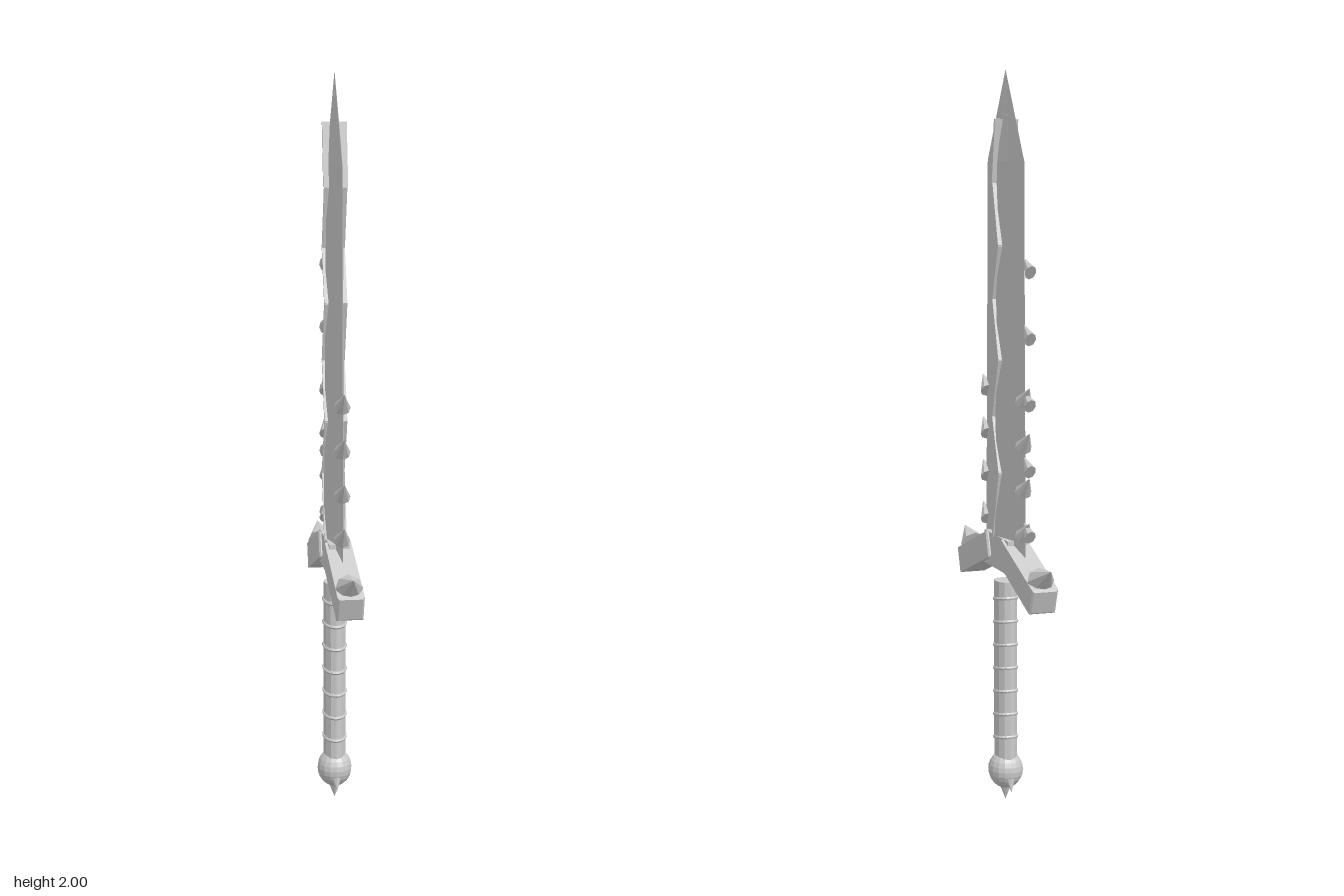
import * as THREE from 'three';

const steel = new THREE.MeshStandardMaterial({ color: 0xcccccc, flatShading: true });
steel.name = 'steel grey';

// Blade: a hollow-ground diamond section lofted up to a point
function bladeGeometry() {
  const levels = [[0.68, 0.166, 0.03], [1.76, 0.15, 0.022], [2.0, 0.0004, 0.0004]]; // y, half width, half thickness
  const section = [[1, 0], [0.5, 0.4], [0, 1], [-0.5, 0.4], [-1, 0], [-0.5, -0.4], [0, -1], [0.5, -0.4]];
  const n = section.length, pos = [], idx = [];
  for (const [y, w, t] of levels) for (const [x, z] of section) pos.push(x * t, y, z * w);
  for (let l = 0; l < levels.length - 1; l++) {
    for (let i = 0; i < n; i++) {
      const a = l * n + i, b = l * n + (i + 1) % n;
      idx.push(a, a + n, b, b, a + n, b + n);
    }
  }
  pos.push(0, levels[0][0], 0);
  for (let i = 0; i < n; i++) idx.push(levels.length * n, i, (i + 1) % n);
  const g = new THREE.BufferGeometry();
  g.setAttribute('position', new THREE.Float32BufferAttribute(pos, 3));
  g.setIndex(idx);
  g.computeVertexNormals();
  return g;
}

export function createModel() {
  const model = new THREE.Group();
  const add = (name, geometry, x = 0, y = 0, z = 0) => {
    const mesh = new THREE.Mesh(geometry, steel);
    mesh.name = name;
    mesh.position.set(x, y, z);
    model.add(mesh);
    return mesh;
  };

  // Cone from a base centre to a tip, both given as [y, z]
  const spike = (name, base, tip, radius, flat = 1) => {
    const dir = new THREE.Vector3(0, tip[0] - base[0], tip[1] - base[1]);
    const g = new THREE.ConeGeometry(radius, dir.length(), 8);
    const m = add(name, g, 0, (base[0] + tip[0]) / 2, (base[1] + tip[1]) / 2);
    m.quaternion.setFromUnitVectors(new THREE.Vector3(0, 1, 0), dir.normalize());
    m.scale.x = flat;
    return m;
  };

  add('blade', bladeGeometry());

  // Zigzag crack running through the blade
  const crack = [[1.87, -0.005], [1.7, 0.022], [1.535, -0.024], [1.39, 0.024], [1.23, -0.026],
    [1.07, 0.026], [0.92, -0.028], [0.74, 0.022]];
  for (let i = 0; i < crack.length - 1; i++) {
    const [y0, z0] = crack[i], [y1, z1] = crack[i + 1];
    const g = new THREE.BoxGeometry(i === 0 ? 0.066 : 0.062, Math.hypot(y0 - y1, z0 - z1), 0.008);
    add('crackSegment', g, 0, (y0 + y1) / 2, (z0 + z1) / 2).rotation.x = Math.atan2(z0 - z1, y0 - y1);
  }

  // Upswept thorns on both edges
  for (const s of [1, -1]) {
    for (let i = 0; i < 4; i++) {
      const y = 0.81 + i * 0.12;
      spike('edgeThorn', [y - 0.042, s * 0.145], [y, s * 0.195], 0.023);
    }
  }
  // Reversed barbs on the back edge
  for (let i = 0; i < 5; i++) {
    const y = 0.81 + i * 0.175;
    spike('backBarb', [y - 0.037, -0.2], [y, -0.146], 0.022, 0.7);
  }

  // Guard: centre block, sloping arms and horn spikes
  add('guardBlock', new THREE.BoxGeometry(0.056, 0.092, 0.2), 0, 0.7, 0);
  const shape = new THREE.Shape();
  const h = 0.031, w = 0.031;
  shape.moveTo(-w, -h).lineTo(w, -h).lineTo(w, h).lineTo(-w, h).closePath();
  for (const s of [1, -1]) {
    const g = new THREE.ExtrudeGeometry(shape, {
      depth: 0.267, bevelEnabled: true, bevelSize: 0.005, bevelThickness: 0.004, bevelSegments: 1,
    });
    g.translate(0, 0, -0.1335);
    add('guardArm', g, 0, 0.667, s * 0.18).rotation.x = s * 0.345;
    spike('guardHorn', [0.672, s * 0.283], [0.712, s * 0.363], 0.037);
  }

  // Grip with slightly slanted wrapping rings
  add('grip', new THREE.CylinderGeometry(0.04, 0.04, 0.5, 12), 0, 0.37, 0).scale.x = 0.76;
  for (let i = 0; i < 7; i++) {
    const g = new THREE.TorusGeometry(0.04, 0.005, 6, 20);
    g.rotateX(Math.PI / 2);
    g.scale(0.76, 1, 1);
    add('gripRing', g, 0, 0.18 + i * 0.065, 0).rotation.x = 0.15;
  }

  // Pommel and its claws
  add('pommel', new THREE.SphereGeometry(0.053, 16, 12), 0, 0.087, 0).scale.x = 0.9;
  spike('pommelClaw', [0.045, 0], [0, 0], 0.018);
  for (const s of [1, -1]) spike('pommelClaw', [0.07, s * 0.036], [0.034, s * 0.052], 0.016);

  return model;
}
